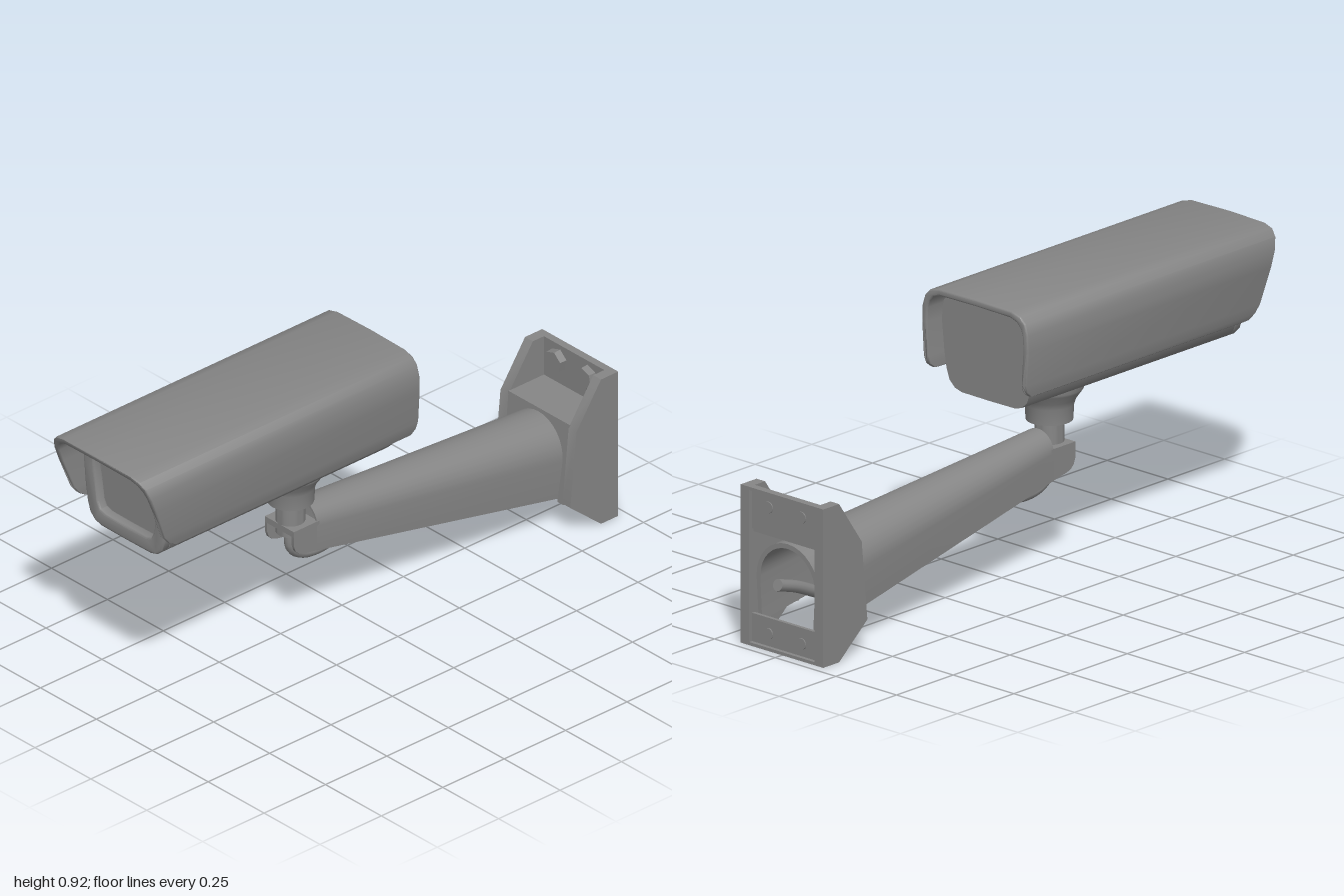
import * as THREE from 'three';
import { toCreasedNormals } from 'three/addons/utils/BufferGeometryUtils.js';

const material = new THREE.MeshStandardMaterial({ color: 0x858585, side: THREE.DoubleSide });
const lerp = THREE.MathUtils.lerp;

function add(parent, name, geometry, x = 0, y = 0, z = 0) {
  const mesh = new THREE.Mesh(geometry, material);
  mesh.name = name;
  mesh.position.set(x, y, z);
  parent.add(mesh);
  return mesh;
}

const shapeOf = (pts) => new THREE.Shape(pts.map(([x, y]) => new THREE.Vector2(x, y)));
const mirrored = (half) => [...half, ...half.filter((p) => p[0] > 0).reverse().map(([x, y]) => [-x, y])];

// Extrude along z, optionally move each vertex by a rule, then keep only sharp edges sharp
function extrude(shape, depth, rule, bevel = 0) {
  const g = new THREE.ExtrudeGeometry(shape, {
    depth, curveSegments: 8, bevelEnabled: bevel > 0,
    bevelSize: bevel, bevelThickness: bevel, bevelOffset: -bevel, bevelSegments: 3,
  });
  if (rule) {
    const p = g.attributes.position;
    for (let i = 0; i < p.count; i++) p.setXYZ(i, ...rule(p.getX(i), p.getY(i), p.getZ(i)));
  }
  return toCreasedNormals(g, 0.6);
}

// Side profile in (z, y), extruded symmetrically across x
function sidePlate(pts, thickness) {
  return extrude(shapeOf(pts), thickness).rotateY(-Math.PI / 2).translate(thickness / 2, 0, 0);
}

// Piecewise-linear lookup of rows [input, output]
function lookup(rows, v) {
  if (v <= rows[0][0]) return rows[0][1];
  for (let i = 1; i < rows.length; i++) {
    const [a, b] = [rows[i - 1], rows[i]];
    if (v <= b[0]) return lerp(a[1], b[1], (v - a[0]) / (b[0] - a[0]));
  }
  return rows[rows.length - 1][1];
}

function buildHousing(root) {
  const housing = new THREE.Group();
  housing.name = 'housing';
  root.add(housing);

  // Main body, with a framed recessed window in front
  const outline = mirrored([[0, 0.58], [0.11, 0.581], [0.138, 0.589], [0.16, 0.61], [0.172, 0.645], [0.181, 0.7],
    [0.19, 0.79], [0.189, 0.83], [0.183, 0.858], [0.166, 0.879], [0.14, 0.888], [0, 0.889]]);
  add(housing, 'body', extrude(shapeOf(outline), 0.91), 0, 0, -0.06);
  const frame = shapeOf(outline);
  frame.holes.push(new THREE.Path(mirrored([[0, 0.63], [0.09, 0.631], [0.113, 0.638], [0.125, 0.66],
    [0.14, 0.76], [0.145, 0.82], [0.142, 0.833], [0.13, 0.839], [0, 0.84]])
    .reverse().map(([x, y]) => new THREE.Vector2(x, y))));
  add(housing, 'windowFrame', extrude(frame, 0.02, null, 0.007), 0, 0, 0.855);

  // Sun hood: thin arch with a raked front, rounded rims and a rounded lower rear corner
  const outer = [[0.2, 0.645], [0.208, 0.65], [0.21, 0.665], [0.212, 0.69], [0.219, 0.8], [0.217, 0.85],
    [0.206, 0.885], [0.186, 0.905], [0.15, 0.915], [0, 0.918]];
  const inner = [[0.195, 0.645], [0.188, 0.65], [0.189, 0.665], [0.191, 0.69], [0.198, 0.8], [0.196, 0.845],
    [0.188, 0.868], [0.172, 0.885], [0.145, 0.894], [0, 0.896]];
  const flip = ([x, y]) => [-x, y];
  const section = [...outer, ...outer.slice(0, -1).reverse().map(flip),
    ...inner.slice(0, -1).map(flip), ...inner.slice().reverse()];
  const front = [[0.645, 0.85], [0.65, 0.87], [0.665, 0.895], [0.69, 0.915], [0.8, 0.957], [0.913, 1]];
  const rear = [[0.645, -0.07], [0.65, -0.095], [0.665, -0.112], [0.69, -0.12]];
  add(housing, 'sunHood', extrude(shapeOf(section), 0.99,
    (x, y, t) => [x, y, lerp(lookup(rear, y), lookup(front, y), t + 0.005)], 0.005));
}

function buildNeck(root) {
  const profile = [[0, 0.345], [0.045, 0.345], [0.045, 0.455], [0.072, 0.455], [0.075, 0.505], [0.082, 0.525],
    [0.101, 0.552], [0.105, 0.56], [0.105, 0.585], [0, 0.585]].map(([x, y]) => new THREE.Vector2(x, y));
  add(root, 'swivelNeck', toCreasedNormals(new THREE.LatheGeometry(profile, 32), 0.6), 0, 0, 0.21);
}

function buildArm(root) {
  const arm = new THREE.Group();
  arm.name = 'arm';
  root.add(arm);

  // Tapered channel: arched top, open bottom, running back into the bracket
  const channel = new THREE.Shape();
  channel.moveTo(1, -1);
  channel.lineTo(1, 0);
  channel.absarc(0, 0, 1, 0, Math.PI, false);
  channel.lineTo(-1, -1);
  channel.lineTo(-0.88, -1);
  channel.lineTo(-0.88, 0);
  channel.absarc(0, 0, 0.88, Math.PI, 0, true);
  channel.lineTo(0.88, -1);
  add(arm, 'armChannel', extrude(channel, 1, (x, y, t) => {
    const w = lerp(0.128, 0.065, t);
    const centre = lerp(0.348, 0.435, t) - w;
    const bottom = lerp(0.08, 0.284, t);
    const taper = 1 - 0.07 * (1 - t) * Math.max(0, -y);
    return [x * w * taper, y > 0 ? centre + y * w : lerp(centre, bottom, -y), lerp(-0.945, 0.16, t)];
  }));

  // Seat for the neck with a rounded cheek on each side
  add(arm, 'neckSeat', new THREE.BoxGeometry(0.13, 0.02, 0.1), 0, 0.375, 0.205);
  const cheek = [[0.15, 0.385], [0.255, 0.385], [0.255, 0.335], [0.248, 0.315], [0.235, 0.302],
    [0.215, 0.295], [0.15, 0.283]];
  for (const s of [-1, 1]) add(arm, 'seatCheek', sidePlate(cheek, 0.01), s * 0.06);
}

function buildWallBracket(root) {
  const bracket = new THREE.Group();
  bracket.name = 'wallBracket';
  root.add(bracket);

  const side = [[-0.97, 0], [-0.9, 0], [-0.775, 0.105], [-0.8, 0.36], [-0.9, 0.505], [-0.97, 0.505]];
  for (const s of [-1, 1]) add(bracket, 'sideWall', sidePlate(side, 0.035), s * 0.1525);

  // Front panel with an arched cutout for the arm
  const panel = shapeOf([[0.11, 0.1], [0.137, 0.1], [0.137, 0.37], [-0.137, 0.37], [-0.137, 0.1],
    [-0.11, 0.1], [-0.11, 0.24]]);
  panel.absarc(0, 0.24, 0.11, Math.PI, 0, true);
  add(bracket, 'frontPanel', extrude(panel, 0.012,
    (x, y, z) => [x, y, z - 0.812 + (0.36 - y) * 0.09]));
  add(bracket, 'shelf', new THREE.BoxGeometry(0.274, 0.012, 0.15), 0, 0.365, -0.876);

  // Recessed mounting plates, each with an outer lip and two hexagonal bolts
  for (const [y, height, boltY, lipY] of [[0.4375, 0.135, 0.453, 0.5], [0.05, 0.1, 0.05, 0.005]]) {
    add(bracket, 'mountingPlate', new THREE.BoxGeometry(0.274, height, 0.012), 0, y, -0.951);
    add(bracket, 'plateLip', new THREE.BoxGeometry(0.274, 0.01, 0.025), 0, lipY, -0.9575);
    for (const x of [-0.07, 0.066]) {
      const head = new THREE.CylinderGeometry(0.036, 0.038, 0.025, 6).rotateX(Math.PI / 2);
      add(bracket, 'boltHead', toCreasedNormals(head, 0.5), x, boltY, -0.933).rotation.z = x * 3;
      const end = new THREE.CylinderGeometry(0.018, 0.018, 0.006, 16).rotateX(Math.PI / 2);
      add(bracket, 'boltEnd', toCreasedNormals(end, 0.5), x, boltY, -0.958);
    }
  }
}

function buildCable(root) {
  // Loops below the neck, runs inside the channel, dips below it and leaves through the wall
  const path = new THREE.CatmullRomCurve3([[0.21, 0.345], [0.203, 0.285], [0.165, 0.252], [0.09, 0.24],
    [0, 0.26], [-0.12, 0.315], [-0.3, 0.29], [-0.46, 0.215], [-0.54, 0.155], [-0.6, 0.128], [-0.67, 0.121],
    [-0.74, 0.13], [-0.83, 0.17], [-0.91, 0.205], [-0.992, 0.23]].map(([z, y]) => new THREE.Vector3(-0.003, y, z)));
  add(root, 'cable', new THREE.TubeGeometry(path, 90, 0.019, 12));
  const tip = add(root, 'cableEnd', new THREE.CircleGeometry(0.019, 12), -0.003, 0.23, -0.992);
  tip.rotation.set(0.3, Math.PI, 0);
}

export function createModel() {
  const root = new THREE.Group();
  root.name = 'securityCamera';
  buildHousing(root);
  buildNeck(root);
  buildArm(root);
  buildWallBracket(root);
  buildCable(root);
  return root;
}
